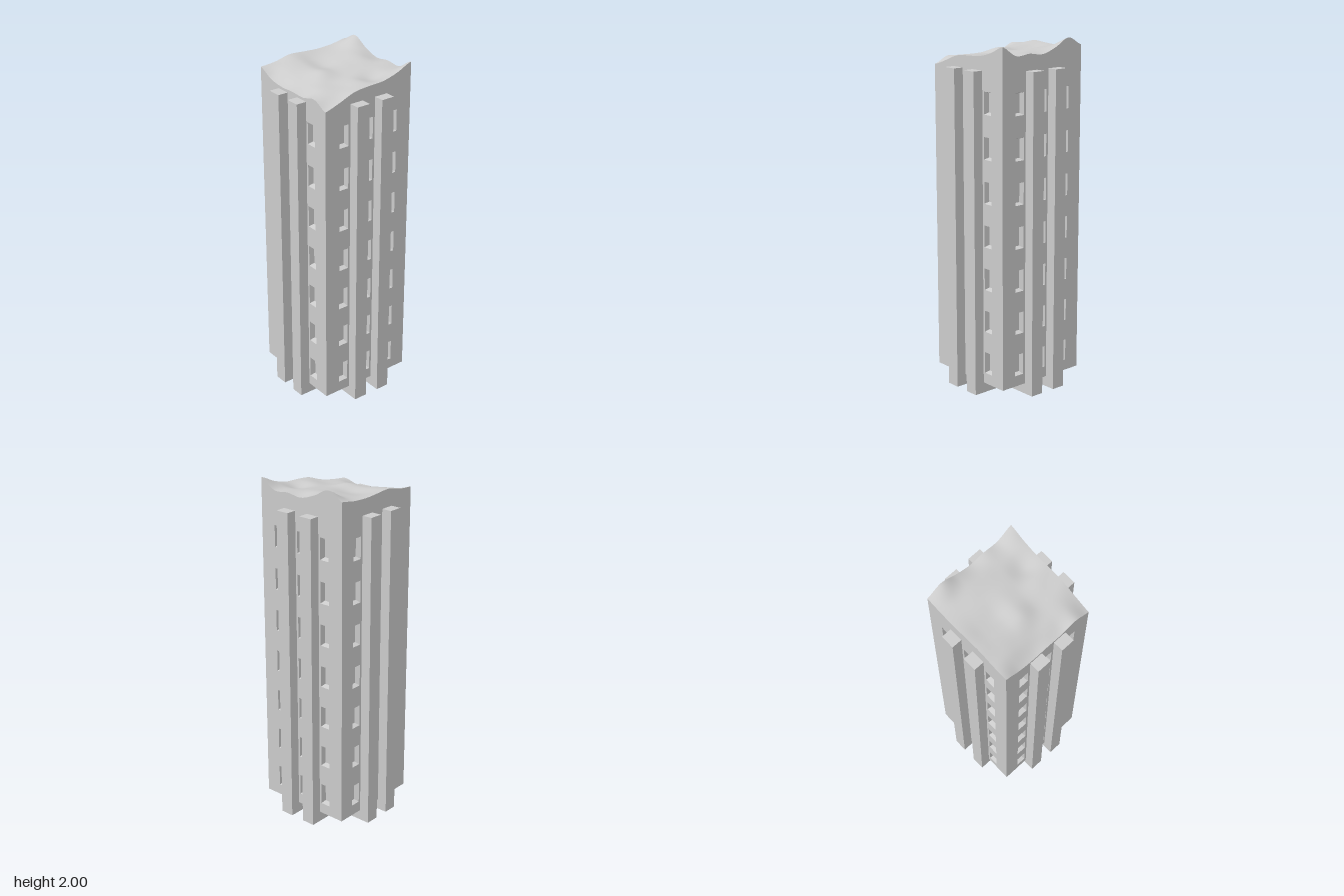
import * as THREE from 'three';
import { mergeGeometries } from 'three/addons/utils/BufferGeometryUtils.js';

const HALF = 0.2875;      // half width of the tower body
const BASE = 0.062;       // underside of the body
const OUTER = 0.3475;     // outer face of the buttresses
const PILLAR_TOP = 1.845;
const STEPS = 48;

// Coarse relief of the broken top: rows run back to front, columns -x to +x
const RELIEF = [
  [1.955, 2.0, 1.955, 1.925, 1.935, 1.93, 1.985],
  [1.94, 1.95, 1.95, 1.94, 1.93, 1.925, 1.945],
  [1.935, 1.93, 1.93, 1.93, 1.92, 1.9, 1.92],
  [1.94, 1.92, 1.91, 1.92, 1.91, 1.915, 1.915],
  [1.945, 1.93, 1.92, 1.925, 1.9, 1.9, 1.905],
  [1.925, 1.915, 1.9, 1.89, 1.89, 1.89, 1.87],
  [1.917, 1.875, 1.86, 1.863, 1.86, 1.88, 1.84],
];

// Smooth interpolation along a list of evenly spaced values
function spline(v, t) {
  const n = v.length - 1;
  const f = THREE.MathUtils.clamp(t, 0, 1) * n;
  const i = Math.min(Math.floor(f), n - 1), s = f - i;
  const a = v[Math.max(i - 1, 0)], b = v[i], c = v[i + 1], d = v[Math.min(i + 2, n)];
  return b + 0.5 * s * (c - a + s * (2 * a - 5 * b + 4 * c - d + s * (3 * (b - c) + d - a)));
}

function topHeight(x, z) {
  const u = (x + HALF) / (2 * HALF), w = (z + HALF) / (2 * HALF);
  return spline(RELIEF.map((row) => spline(row, u)), w);
}

// Window layout: three columns by seven rows
const WIN_W = 0.03, WIN_H = 0.0625, DEPTH = 0.03;
const windows = [];
for (const x of [-0.165, 0, 0.165])
  for (let r = 0; r < 7; r++) windows.push([x, 0.187 + r * 0.2475]);

// Wall with window holes and the broken outline along its top
function wallGeometry(angle) {
  const c = Math.cos(angle), s = Math.sin(angle);
  const shape = new THREE.Shape();
  shape.moveTo(-HALF, BASE);
  shape.lineTo(HALF, BASE);
  for (let i = STEPS; i >= 0; i--) {
    const u = -HALF + (2 * HALF * i) / STEPS;
    shape.lineTo(u, topHeight(u * c + HALF * s, -u * s + HALF * c));
  }
  for (const [x, y] of windows) {
    const hole = new THREE.Path();
    hole.moveTo(x - WIN_W, y - WIN_H);
    hole.lineTo(x - WIN_W, y + WIN_H);
    hole.lineTo(x + WIN_W, y + WIN_H);
    hole.lineTo(x + WIN_W, y - WIN_H);
    shape.holes.push(hole);
  }
  return new THREE.ShapeGeometry(shape).translate(0, 0, HALF);
}

// Slightly tapered window recess with a back pane
function recessGeometry() {
  const pos = [];
  for (const [w, h, z] of [[WIN_W, WIN_H, 0], [WIN_W - 0.006, WIN_H - 0.009, -DEPTH]])
    pos.push(-w, -h, z, w, -h, z, w, h, z, -w, h, z);
  const index = [4, 5, 6, 4, 6, 7];
  for (let i = 0; i < 4; i++) {
    const j = (i + 1) % 4;
    index.push(i, j, j + 4, i, j + 4, i + 4);
  }
  const g = new THREE.BufferGeometry();
  g.setAttribute('position', new THREE.Float32BufferAttribute(pos, 3));
  g.setIndex(index);
  const flat = g.toNonIndexed();
  flat.computeVertexNormals();
  return flat;
}

// Continuous frame: two opposite buttresses joined by a beam under the body
function frameGeometry() {
  const s = new THREE.Shape();
  s.moveTo(-OUTER, 0);
  s.lineTo(OUTER, 0);
  s.lineTo(OUTER, PILLAR_TOP);
  s.lineTo(HALF, PILLAR_TOP);
  s.lineTo(HALF, BASE);
  s.lineTo(-HALF, BASE);
  s.lineTo(-HALF, PILLAR_TOP);
  s.lineTo(-OUTER, PILLAR_TOP);
  s.closePath();
  return new THREE.ExtrudeGeometry(s, { depth: 0.08, bevelEnabled: false }).translate(0, 0, -0.04);
}

export function createModel() {
  const model = new THREE.Group();
  model.name = 'tower';
  const material = new THREE.MeshStandardMaterial({ color: 0xcccccc });
  const add = (name, geometry, parent = model) => {
    const mesh = new THREE.Mesh(geometry, material);
    mesh.name = name;
    parent.add(mesh);
    return mesh;
  };

  // Four walls with their window recesses
  const recess = recessGeometry();
  const recesses = mergeGeometries(windows.map(([x, y]) => recess.clone().translate(x, y, HALF)));
  ['front', 'left', 'back', 'right'].forEach((side, k) => {
    const group = new THREE.Group();
    group.name = side + 'Side';
    group.rotation.y = (k * Math.PI) / 2;
    add(side + 'Wall', wallGeometry(group.rotation.y), group);
    add(side + 'Windows', recesses, group);
    model.add(group);
  });

  // Broken, rolling top surface
  const top = new THREE.PlaneGeometry(2 * HALF, 2 * HALF, STEPS, STEPS).rotateX(-Math.PI / 2);
  const p = top.attributes.position;
  for (let i = 0; i < p.count; i++) p.setY(i, topHeight(p.getX(i), p.getZ(i)));
  top.computeVertexNormals();
  add('brokenTop', top);

  // Underside of the body
  add('underside', new THREE.PlaneGeometry(2 * HALF, 2 * HALF).rotateX(Math.PI / 2).translate(0, BASE, 0));

  // Two frames in each direction, crossing beneath the body
  const frame = frameGeometry();
  for (const offset of [-0.082, 0.082]) {
    add('crossFrame', frame).position.z = offset;
    const lengthwise = add('lengthwiseFrame', frame);
    lengthwise.rotation.y = Math.PI / 2;
    lengthwise.position.x = offset;
  }
  return model;
}
